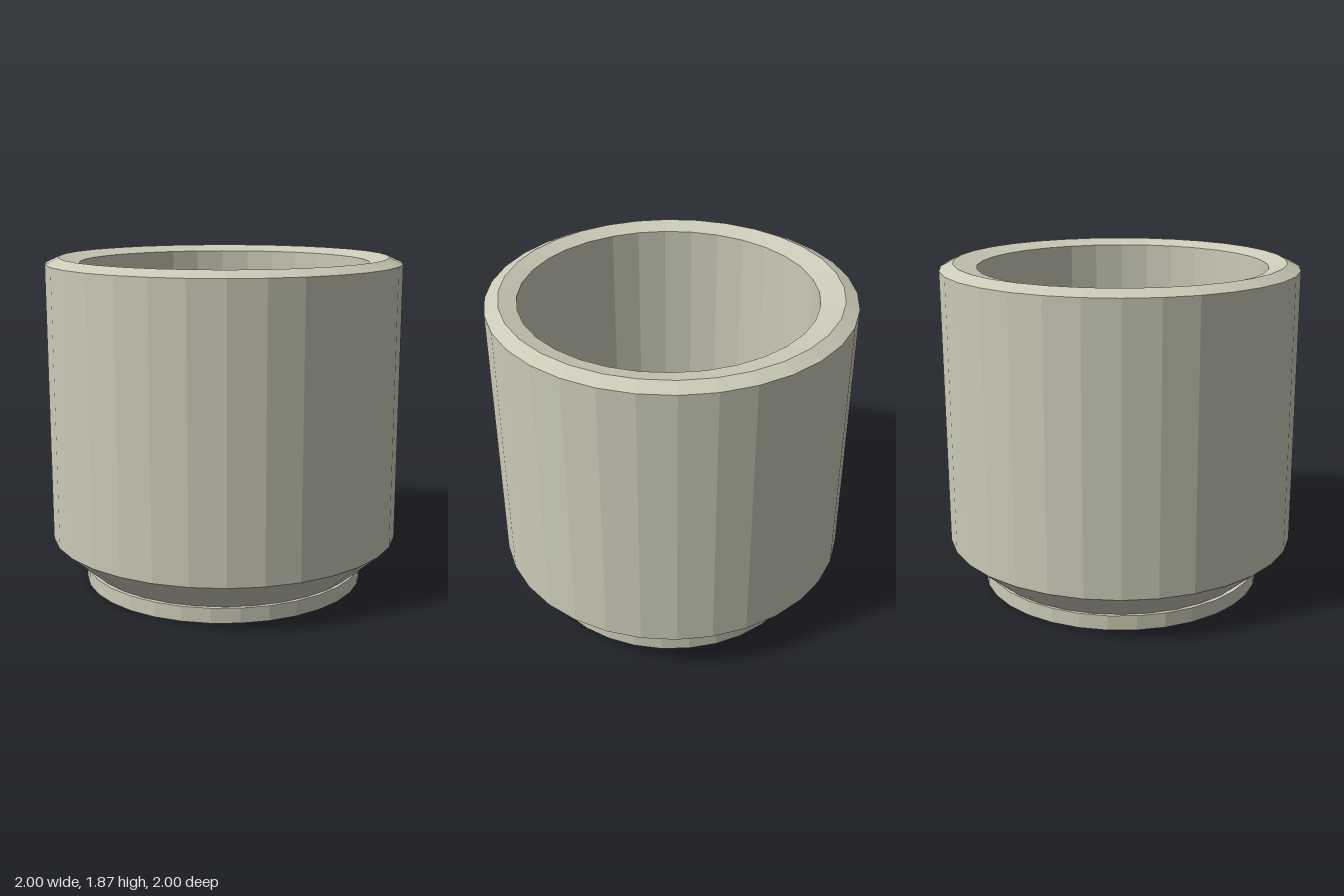
import * as THREE from 'three';

const SIDES = 32;
const BORE = 0.812; // radius of the hollow
const FLOOR_Y = 0.22;

export function createModel() {
  const group = new THREE.Group();
  group.name = 'cup';
  const material = new THREE.MeshStandardMaterial({ color: 0xcccbb8, flatShading: true });

  // body: lower bevel, straight wall, bevelled rim and hollow in one turned profile
  const profile = [
    [0.79, 0.085], [1, 0.27], [1, 1.835], [0.925, 1.87],
    [BORE, 1.84], [BORE, FLOOR_Y], [0, FLOOR_Y],
  ].map(([r, y]) => new THREE.Vector2(r, y));
  const bodyGeometry = new THREE.LatheGeometry(profile, SIDES);

  // the hollow sits slightly forward of the outer wall
  const pos = bodyGeometry.attributes.position;
  const perColumn = profile.length;
  for (let i = 0; i < pos.count; i++) {
    if (i % perColumn >= 4) pos.setZ(i, pos.getZ(i) + 0.018);
  }
  const body = new THREE.Mesh(bodyGeometry, material);
  body.name = 'body';
  group.add(body);

  // foot: short solid disc under the bevel
  const footGeometry = new THREE.CylinderGeometry(0.807, 0.807, 0.085, SIDES);
  footGeometry.rotateY(Math.PI / SIDES);
  const foot = new THREE.Mesh(footGeometry, material);
  foot.name = 'foot';
  foot.position.set(-0.004, 0.0425, 0.004);
  group.add(foot);

  return group;
}
